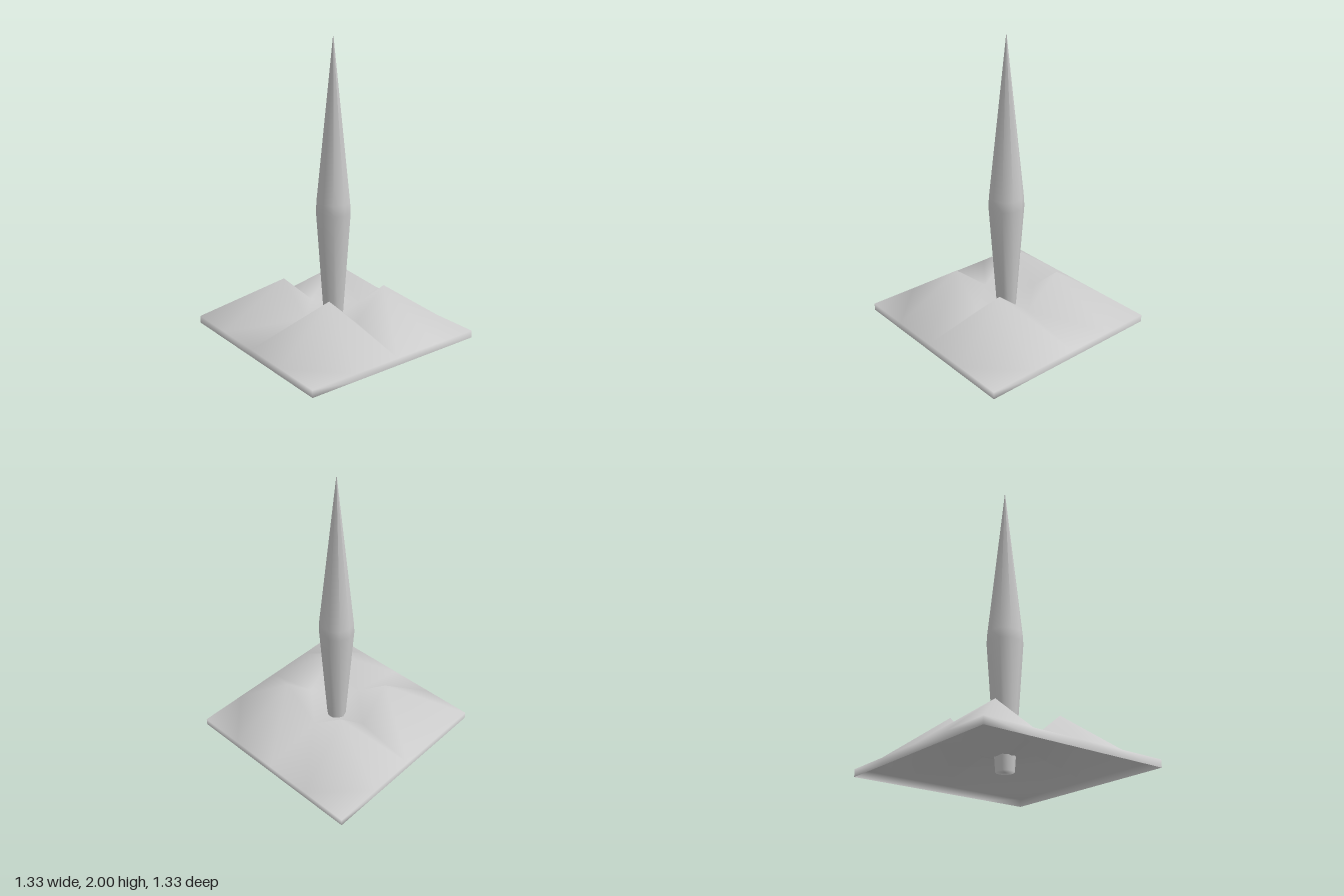
import * as THREE from 'three';

const HALF = 0.665;   // half width of the square base
const RIM = 0.05;     // height of its upright rim

// Which way each grid cell is folded, back row first:
// P runs from back left to front right on plan, N the other way
const FOLDS = ['NPPP', 'NNPP', 'PPNN', 'NNNN'];

// Height of a grid point, by its distance in steps from the centre lines
function heightAt(a, b) {
  if (a === 2 || b === 2) return RIM;       // outer rim
  if (a === 1 && b === 1) return 0.355;     // four peaks
  if (a === 0 && b === 0) return 0.07;      // centre hollow
  return 0.145;                             // valleys between the peaks
}

// Thin sheet folded into four peaks, with a skirt down to the ground
function foldedBase() {
  const positions = [], index = [];
  for (let j = -2; j <= 2; j++) {
    for (let i = -2; i <= 2; i++) {
      const a = Math.abs(i), b = Math.abs(j);
      const inner = a < 2 && b < 2;
      positions.push(
        i * (inner ? 0.255 : HALF / 2),
        heightAt(a, b),
        j * (inner ? 0.23 : HALF / 2)
      );
    }
  }

  // Two triangles per cell, split along its fold
  for (let row = 0; row < 4; row++) {
    for (let col = 0; col < 4; col++) {
      const a = row * 5 + col, b = a + 5, c = a + 6, d = a + 1;
      if (FOLDS[row][col] === 'P') index.push(a, b, c, a, c, d);
      else index.push(a, b, d, b, c, d);
    }
  }

  // Skirt: walk round the edge and drop a wall from every edge point
  const edge = [];
  for (let k = 0; k < 4; k++) edge.push(k * 5);
  for (let k = 0; k < 4; k++) edge.push(20 + k);
  for (let k = 4; k > 0; k--) edge.push(k * 5 + 4);
  for (let k = 4; k > 0; k--) edge.push(k);
  edge.forEach((top, k) => {
    positions.push(positions[top * 3], 0, positions[top * 3 + 2]);
    const next = (k + 1) % edge.length;
    index.push(top, 25 + k, 25 + next, top, 25 + next, edge[next]);
  });

  const g = new THREE.BufferGeometry();
  g.setAttribute('position', new THREE.Float32BufferAttribute(positions, 3));
  g.setIndex(index);
  g.computeVertexNormals();
  return g;
}

export function createModel() {
  const model = new THREE.Group();

  // Hollow folded base
  const base = new THREE.Mesh(
    foldedBase(),
    new THREE.MeshStandardMaterial({ color: 0xcccccc, side: THREE.DoubleSide })
  );
  base.name = 'base';
  model.add(base);

  // Ten-sided spire, widest below its middle, reaching down through the base
  const profile = [[0, 0], [0.06, 0], [0.12, 0.85], [0.116, 0.92], [0.002, 2], [0, 2]];
  const lathe = new THREE.LatheGeometry(profile.map(([r, y]) => new THREE.Vector2(r, y)), 10);
  lathe.rotateY(Math.PI / 2);
  const spire = new THREE.Mesh(lathe, new THREE.MeshStandardMaterial({ color: 0xcccccc }));
  spire.name = 'spire';
  model.add(spire);

  return model;
}
